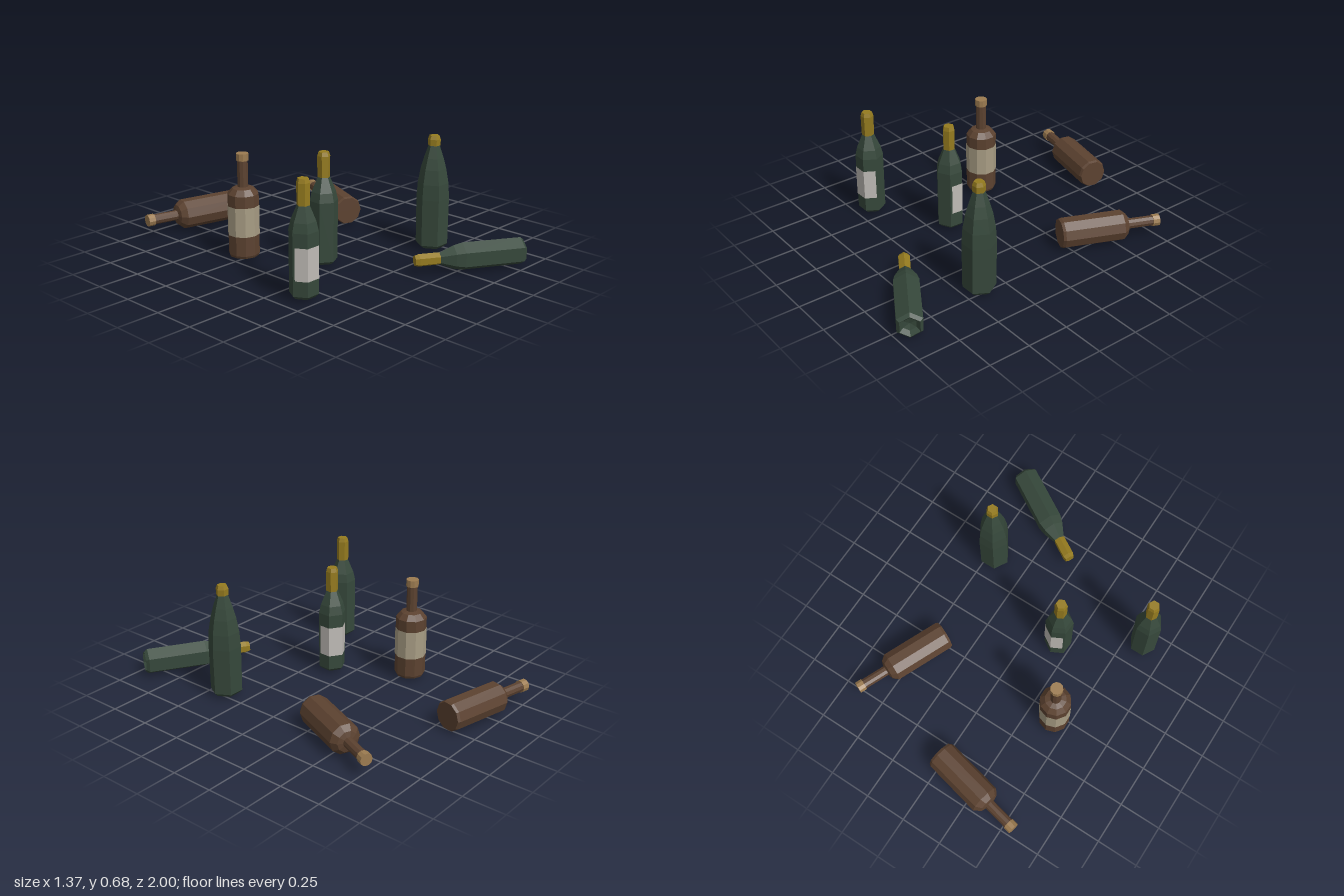
import * as THREE from 'three';

const mat = (name, color, extra = {}) => {
  const m = new THREE.MeshStandardMaterial({ color, flatShading: true, ...extra });
  m.name = name;
  return m;
};
const rad = THREE.MathUtils.degToRad;

export function createModel() {
  const green = mat('green glass', 0x36483b);
  const brown = mat('brown glass', 0x5c4230);
  const gold = mat('gold foil', 0x957b1f);
  const cork = mat('tan stopper', 0x9c7b50);
  const paper = mat('white paper', 0xbfbbb6, { side: THREE.DoubleSide });
  const kraft = mat('cream paper', 0xa89d84, { side: THREE.DoubleSide });

  // turned part: profile of [radius, height] from bottom to top
  function turned(name, profile, sides, phi, material) {
    const pts = profile.map(([r, y]) => new THREE.Vector2(r, y));
    const mesh = new THREE.Mesh(new THREE.LatheGeometry(pts, sides, rad(phi)), material);
    mesh.name = name;
    return mesh;
  }

  // paper label folded over three sides of a six-sided body
  function foldedLabel() {
    const fold = [[-0.0765, 0.0105], [-0.0415, 0.0715], [0.0415, 0.0715], [0.0765, 0.0105]];
    const geo = new THREE.PlaneGeometry(1, 0.182, 3, 1);
    const p = geo.attributes.position;
    for (let i = 0; i < p.count; i++) {
      const [x, z] = fold[i % 4];
      p.setXYZ(i, x, p.getY(i) + 0.211, z);
    }
    const mesh = new THREE.Mesh(geo, paper);
    mesh.name = 'label';
    return mesh;
  }

  // six-sided bottle with sloping shoulders and a hollow base
  function wineBottle(spin, labelled) {
    const g = new THREE.Group();
    g.add(turned('body', [[0, 0.05], [0.04, 0.04], [0.062, 0.015], [0.08, 0.033], [0.081, 0.38],
      [0.069, 0.432], [0.034, 0.515]], 6, 30 + spin, green));
    g.add(turned('foil', [[0, 0.515], [0.036, 0.515], [0.037, 0.635], [0.03, 0.658], [0, 0.658]],
      6, 30 + spin, gold));
    if (labelled) g.add(foldedLabel());
    return g;
  }

  // taller, wider bottle with a long taper
  function sparklingBottle() {
    const g = new THREE.Group();
    g.add(turned('body', [[0, 0.055], [0.045, 0.045], [0.075, 0.013], [0.093, 0.032], [0.095, 0.31],
      [0.089, 0.40], [0.074, 0.485], [0.056, 0.55], [0.032, 0.622]], 6, 30, green));
    g.add(turned('foil', [[0, 0.622], [0.036, 0.622], [0.037, 0.658], [0.028, 0.68], [0, 0.68]],
      6, 30, gold));
    return g;
  }

  // round-shouldered bottle with a straight neck
  function spiritBottle(spin, labelled) {
    const g = new THREE.Group();
    g.add(turned('body', [[0, 0.015], [0.083, 0.015], [0.09, 0.03], [0.09, 0.384], [0.062, 0.416],
      [0.031, 0.424], [0.031, 0.576]], 10, spin, brown));
    g.add(turned('stopper', [[0, 0.576], [0.036, 0.576], [0.036, 0.617], [0, 0.617]], 10, spin, cork));
    if (labelled) g.add(turned('label', [[0.092, 0.145], [0.092, 0.316]], 10, spin, kraft));
    return g;
  }

  const model = new THREE.Group();

  function stand(name, bottle, x, z, turn = 0) {
    bottle.name = name;
    bottle.position.set(x, 0, z);
    bottle.rotation.y = rad(turn);
    model.add(bottle);
  }

  // lay a bottle down with its axis running from base to tip, in [x, z]
  function lay(name, bottle, height, base, tip) {
    const dx = tip[0] - base[0], dz = tip[1] - base[1];
    const d = Math.hypot(dx, dz);
    bottle.name = name;
    bottle.rotation.set(Math.PI / 2, Math.atan2(dx, dz), 0, 'YXZ');
    // profiles start 0.015 above their origin
    bottle.position.set(base[0] - 0.015 * dx / d, height, base[1] - 0.015 * dz / d);
    model.add(bottle);
  }

  stand('leftStandingWineBottle', wineBottle(0, true), -0.604, 0.4);
  stand('middleStandingWineBottle', wineBottle(0, true), -0.172, 0.13, 147);
  stand('sparklingBottle', sparklingBottle(), 0.46, 0.4);
  stand('standingSpiritBottle', spiritBottle(0, true), -0.403, -0.28);
  lay('lyingWineBottle', wineBottle(30, false), 0.084, [0.595, 0.945], [0.045, 0.608]);
  lay('backLyingSpiritBottle', spiritBottle(18, false), 0.095, [0.021, -0.833], [-0.569, -0.966]);
  lay('sideLyingSpiritBottle', spiritBottle(18, false), 0.095, [0.41, -0.217], [0.648, -0.765]);

  return model;
}
